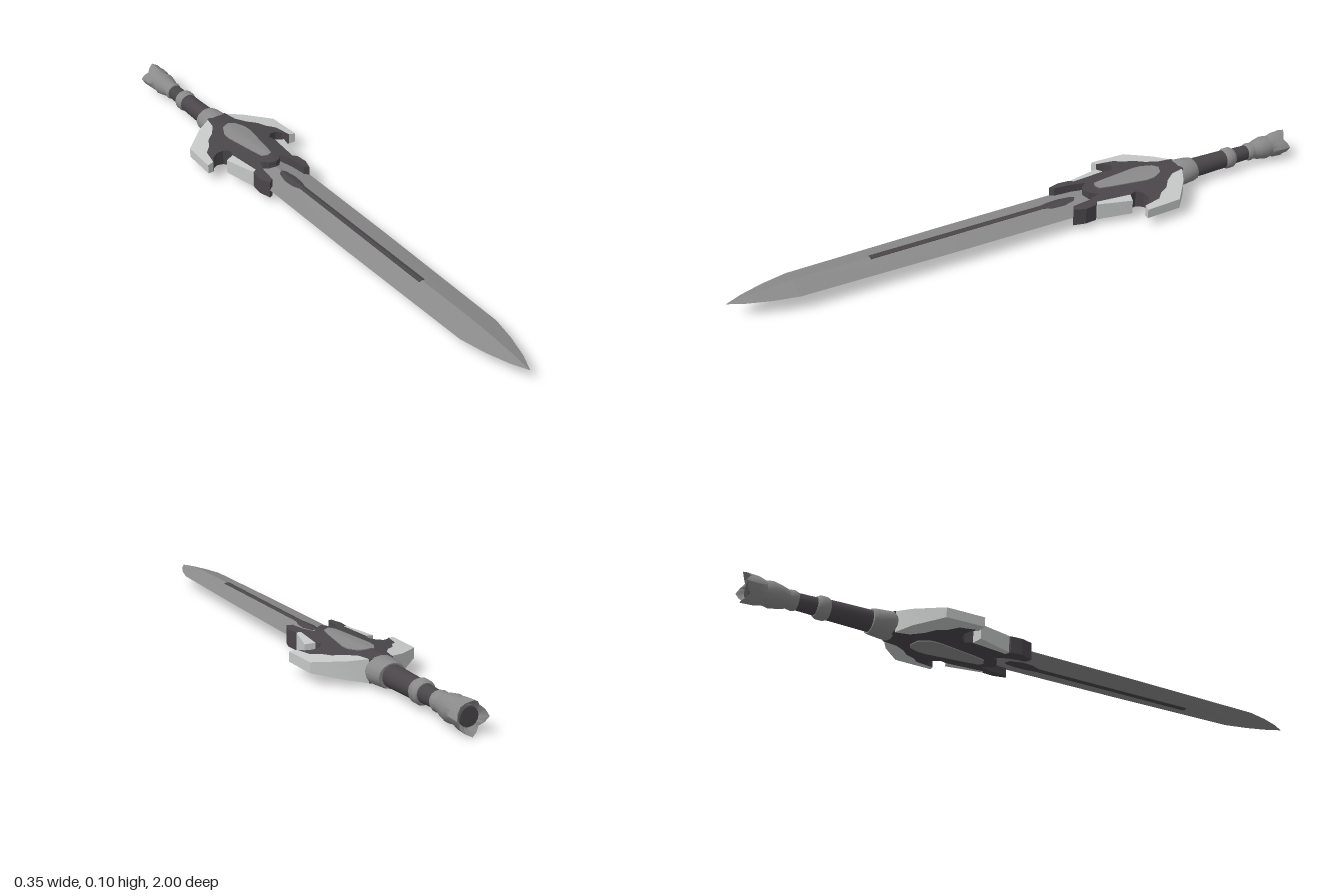
import * as THREE from 'three';
import { toCreasedNormals, mergeGeometries } from 'three/addons/utils/BufferGeometryUtils.js';

const MID = 0.05; // height of the sword's centre plane

const mat = (name, color) => {
  const m = new THREE.MeshStandardMaterial({ color });
  m.name = name;
  return m;
};

// Slab drawn as an (x, z) outline for the left half, mirrored to the right;
// its half thickness follows halfHeight(|x|).
function mirroredSlab(outline, halfHeight) {
  const halves = [1, -1].map((side) => {
    const shape = new THREE.Shape(outline.map(([x, z]) => new THREE.Vector2(x * side, z)));
    const g = new THREE.ExtrudeGeometry(shape, { depth: 2, bevelEnabled: false });
    g.translate(0, 0, -1);
    g.rotateX(Math.PI / 2);
    const p = g.attributes.position;
    for (let i = 0; i < p.count; i++) {
      p.setY(i, MID + Math.sign(p.getY(i)) * halfHeight(Math.abs(p.getX(i))));
    }
    return g;
  });
  return toCreasedNormals(mergeGeometries(halves), 0.4);
}

// Turned part along z from [radius, z] pairs, optionally reshaped by a rule.
function turned(profile, { flat = 0.9, segments = 16, rule } = {}) {
  const g = new THREE.LatheGeometry(profile.map(([r, z]) => new THREE.Vector2(r, z)), segments);
  g.rotateX(Math.PI / 2);
  const p = g.attributes.position;
  if (rule) for (let i = 0; i < p.count; i++) rule(p, i);
  g.scale(1, flat, 1);
  g.translate(0, MID, 0);
  return toCreasedNormals(g, 0.6);
}

// Diamond-section blade lofted through [z, half width, half thickness] stations.
function bladeGeometry(stations) {
  const rings = stations.map(([z, w, t]) => [
    [w, MID, z], [0, MID + t, z], [-w, MID, z], [0, MID - t, z],
  ]);
  const pos = [];
  for (let i = 0; i < rings.length - 1; i++) {
    for (let k = 0; k < 4; k++) {
      const n = (k + 1) % 4;
      const a = rings[i][k], b = rings[i][n], c = rings[i + 1][n], d = rings[i + 1][k];
      pos.push(...a, ...b, ...c, ...a, ...c, ...d);
    }
  }
  const g = new THREE.BufferGeometry();
  g.setAttribute('position', new THREE.Float32BufferAttribute(pos, 3));
  g.computeVertexNormals();
  return g;
}

export function createModel() {
  const model = new THREE.Group();
  model.name = 'sword';
  const steel = mat('steel grey', 0x8a8a8a);
  const pale = mat('pale silver', 0xc6c8c8);
  const dark = mat('dark iron', 0x4a464a);
  const add = (name, geometry, material) => {
    const mesh = new THREE.Mesh(geometry, material);
    mesh.name = name;
    model.add(mesh);
  };

  // Blade and its dark central inlay
  add('blade', bladeGeometry([
    [-0.3, 0.06, 0.019], [-0.12, 0.079, 0.019], [0.3, 0.076, 0.019], [0.8, 0.067, 0.018],
    [0.88, 0.049, 0.013], [0.95, 0.025, 0.007], [1, 0, 0],
  ]), steel);
  add('bladeInlay', mirroredSlab([
    [0, -0.15], [0.012, -0.14], [0.021, -0.1], [0.019, -0.06], [0.01, -0.03], [0.01, 0.56], [0, 0.56],
  ], (x) => 0.0202 - 0.24 * x), dark);

  // Guard: dark body with prongs, pale wings and side blades, raised boss
  const guardHeight = (x) => 0.04 - 0.14 * x;
  add('guardBody', mirroredSlab([
    [0, -0.55], [0.036, -0.55], [0.045, -0.5], [0.07, -0.465], [0.1, -0.44], [0.115, -0.41],
    [0.14, -0.385], [0.152, -0.325], [0.138, -0.345], [0.118, -0.357], [0.095, -0.355],
    [0.077, -0.335], [0.085, -0.31], [0.08, -0.26], [0.073, -0.19], [0.087, -0.18],
    [0.091, -0.14], [0.078, -0.1], [0.062, -0.11], [0.055, -0.17], [0.04, -0.215],
    [0.02, -0.19], [0, -0.18],
  ], guardHeight), dark);
  add('guardWings', mirroredSlab([
    [0.036, -0.545], [0.09, -0.515], [0.17, -0.445], [0.175, -0.32], [0.152, -0.325],
    [0.14, -0.385], [0.115, -0.41], [0.1, -0.44], [0.07, -0.465], [0.045, -0.5],
  ], guardHeight), pale);
  add('guardSideBlades', mirroredSlab([
    [0.085, -0.31], [0.115, -0.3], [0.1, -0.24], [0.086, -0.185], [0.073, -0.19], [0.08, -0.26],
  ], guardHeight), pale);
  add('guardBoss', mirroredSlab([
    [0, -0.475], [0.025, -0.465], [0.042, -0.43], [0.044, -0.4], [0.035, -0.34],
    [0.025, -0.27], [0.018, -0.235], [0, -0.225],
  ], (x) => guardHeight(x) + 0.003), steel);

  // Collar, grip and ring
  add('collar', turned([
    [0, -0.612], [0.044, -0.612], [0.047, -0.6], [0.052, -0.55], [0.046, -0.538], [0, -0.538],
  ], { flat: 0.84 }), steel);
  add('grip', turned([
    [0, -0.86], [0.025, -0.86], [0.027, -0.79], [0.031, -0.74], [0.034, -0.6], [0, -0.6],
  ], { flat: 1 }), dark);
  add('gripRing', turned([
    [0, -0.782], [0.03, -0.782], [0.036, -0.772], [0.036, -0.752], [0.031, -0.742], [0, -0.742],
  ], { flat: 1 }), steel);

  // Pommel: a flared crown with four claws around a dark end cap
  const claws = (p, i) => {
    const x = p.getX(i), y = p.getY(i), z = p.getZ(i);
    if (z > -0.94) return;
    const wave = Math.cos(4 * Math.atan2(y, x));
    const s = 1 + 0.1 * wave;
    p.setXYZ(i, x * s, y * s, z < -0.99 ? z + 0.009 * (1 - wave) : z);
  };
  add('pommel', turned([
    [0, -0.975], [0.03, -0.975], [0.044, -1], [0.042, -0.955], [0.036, -0.935], [0.04, -0.915],
    [0.034, -0.885], [0.028, -0.865], [0.031, -0.85], [0.027, -0.838], [0, -0.838],
  ], { flat: 1, rule: claws }), steel);
  add('pommelCap', turned([
    [0, -0.982], [0.027, -0.982], [0.029, -0.972], [0, -0.972],
  ], { flat: 1 }), dark);

  return model;
}
